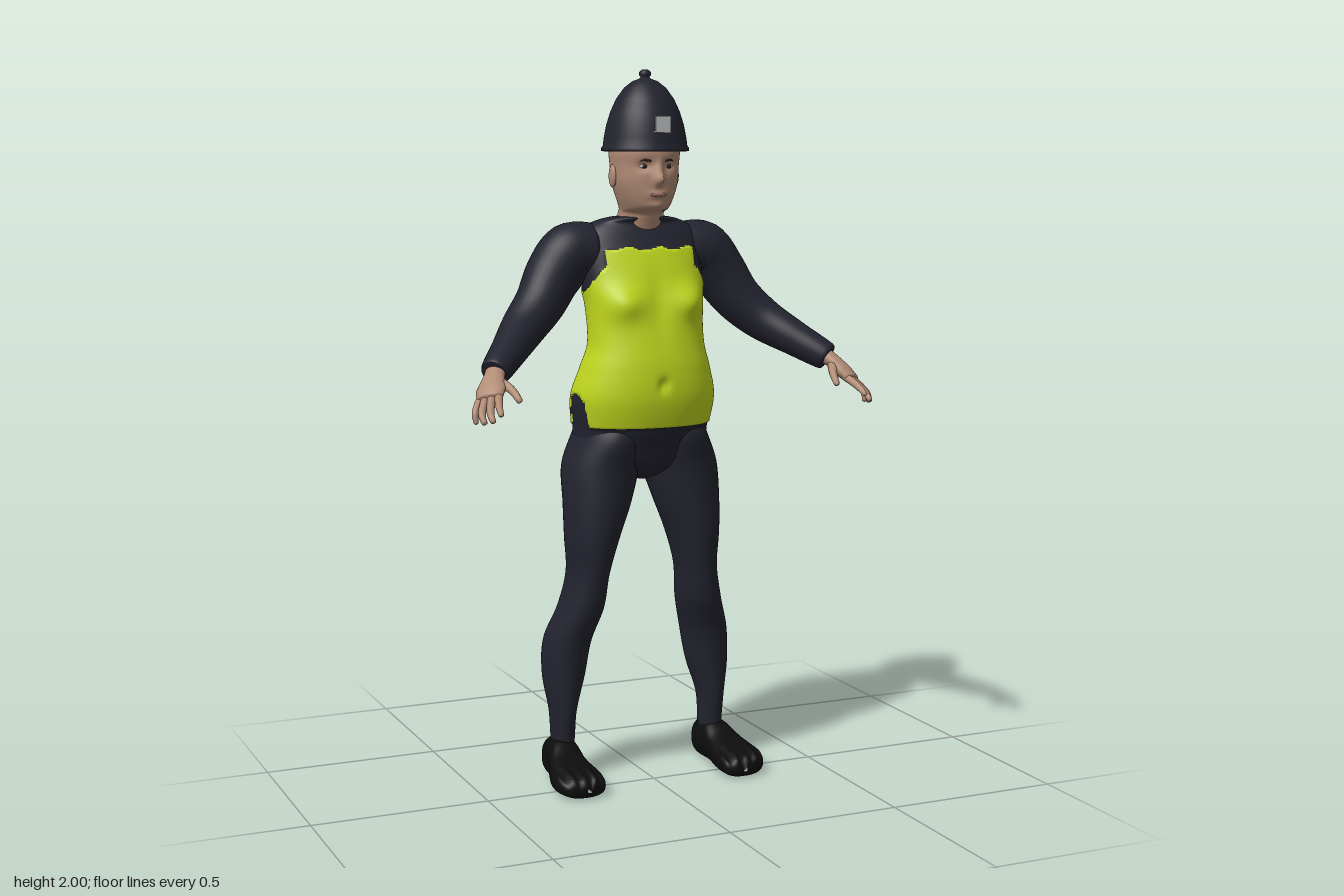
import * as THREE from 'three';

const mat = (name, color) => Object.assign(new THREE.MeshStandardMaterial({ color }), { name });
const navy = mat('navy cloth', 0x23232f);
const lime = mat('high visibility lime', 0xc0d81e);
const skin = mat('skin', 0xb08a74);
const lip = mat('lips', 0x966a5c);
const black = mat('black shoe', 0x0d0d0e);
const dark = mat('dark brown', 0x2a1d18);
const white = mat('eye white', 0xd8d4d0);
const silver = mat('silver', 0xb9babd);

const bell = (d, w) => Math.exp(-(d * d) / (w * w));
const spline = (a, b, c, d, t) =>
  b + 0.5 * t * (c - a + t * (2 * a - 5 * b + 4 * c - d + t * (3 * (b - c) + d - a)));

// Skin of rings: at(row, col) gives a point, pick chooses the material of each face
function grid(rows, cols, at, pick = () => 0) {
  const pos = [], faces = [[], []];
  for (let i = 0; i <= rows; i++) for (let j = 0; j < cols; j++) pos.push(...at(i / rows, (j / cols) * Math.PI * 2));
  for (let i = 0; i < rows; i++) for (let j = 0; j < cols; j++) {
    const a = i * cols + j, b = i * cols + (j + 1) % cols, c = a + cols, d = b + cols;
    const mid = [0, 1, 2].map(k => (pos[a * 3 + k] + pos[b * 3 + k] + pos[c * 3 + k] + pos[d * 3 + k]) / 4);
    faces[pick(...mid)].push(a, c, b, b, c, d);
  }
  const g = new THREE.BufferGeometry();
  g.setAttribute('position', new THREE.Float32BufferAttribute(pos, 3));
  g.setIndex([...faces[0], ...faces[1]]);
  if (faces[1].length) {
    g.addGroup(0, faces[0].length, 0);
    g.addGroup(faces[0].length, faces[1].length, 1);
  }
  g.computeVertexNormals();
  return g;
}

// Stacked sections [y, halfWidth, zFront, zBack, xCentre], shaped further by a rule
function loft(sections, { cols = 48, steps = 8, power = 2, shape = p => p, pick } = {}) {
  const n = sections.length - 1;
  return grid(n * steps, cols, (u, a) => {
    const i = Math.min(Math.floor(u * n + 1e-9), n - 1), t = u * n - i;
    const s = k => sections[Math.max(0, Math.min(n, k))];
    const [y, w, zf, zb, cx] = [0, 1, 2, 3, 4].map(k =>
      spline(s(i - 1)[k] || 0, s(i)[k] || 0, s(i + 1)[k] || 0, s(i + 2)[k] || 0, t));
    const c = Math.cos(a), d = Math.sin(a), f = v => Math.sign(v) * Math.abs(v) ** (2 / power);
    return shape([cx + w * f(c), y, (zf + zb) / 2 + ((zf - zb) / 2) * f(d)], c, d);
  }, pick);
}

// Rounded limb through points [x, y, z, radius, secondRadius]; ref aims the first radius
function limb(points, { ref = [0, 0, 1], round = 0.12, rows = 24, cols = 20 } = {}) {
  const curve = new THREE.CatmullRomCurve3(points.map(p => new THREE.Vector3(...p)));
  const n = points.length - 1;
  return grid(rows, cols, (u, a) => {
    const P = curve.getPoint(u), T = curve.getTangent(u);
    const A = new THREE.Vector3(...ref).addScaledVector(T, -T.dot(new THREE.Vector3(...ref))).normalize();
    const B = A.clone().cross(T);
    const i = Math.min(Math.floor(u * n), n - 1), t = u * n - i;
    const r = k => THREE.MathUtils.lerp(points[i][k] ?? points[i][3], points[i + 1][k] ?? points[i + 1][3], t);
    const e = Math.max(0, (Math.abs(2 * u - 1) - 1 + round) / round), cap = Math.sqrt(Math.max(0.0001, 1 - e * e));
    return P.addScaledVector(A, Math.cos(a) * r(3) * cap).addScaledVector(B, Math.sin(a) * r(4) * cap).toArray();
  });
}

function mirrored(geometry) {
  const g = geometry.clone().scale(-1, 1, 1), idx = g.index.array;
  for (let i = 0; i < idx.length; i += 3) [idx[i], idx[i + 1]] = [idx[i + 1], idx[i]];
  g.computeVertexNormals();
  return g;
}

// Area of the torso covered by the vest
function inVest(x, y, z) {
  const ax = Math.abs(x), front = z > -0.09;
  const top = (front ? 1.512 : 1.505) + 0.004 * Math.sin(x * 70) - (ax > 0.13 ? (ax - 0.13) * 0.9 : 0);
  if (y < 1.019 || y > top) return 0;
  if (ax > 0.13 && Math.hypot((y - 1.5) / 0.11, (z + 0.1) / 0.085) < 1) return 0;
  if (ax > 0.14 && y < 1.11 - 9 * (z + 0.08) ** 2 && Math.abs(z + 0.08) < 0.05) return 0;
  return 1;
}

function shapeTorso([x, y, z], c, d) {
  const ax = Math.abs(x);
  if (d > 0) {
    z += 0.026 * bell(ax - 0.1, 0.05) * bell(y - 1.365, 0.045) * Math.min(1, d * 2);
    z -= 0.012 * bell(x, 0.012) * bell(y - 1.14, 0.02);
    z -= 0.006 * bell(x, 0.03) * bell(y - 1.36, 0.08);
  } else {
    z += 0.017 * bell(x, 0.03) * -d + 0.02 * bell(x, 0.02) * bell(y - 0.98, 0.07);
    z -= 0.01 * bell(ax - 0.09, 0.05) * (bell(y - 1.03, 0.08) + bell(y - 1.44, 0.07)) * -d;
  }
  const out = inVest(x, y, z) * 0.005;
  return [x + c * out, y, z + d * out];
}

function shapeHead([x, y, z], c, d) {
  if (d > 0) {
    const ax = Math.abs(x), low = Math.max(0, Math.min(1, (1.7 - y) / 0.08));
    z += 0.026 * bell(x, 0.013) * bell(y - 1.7, 0.016) + 0.014 * bell(x, 0.011) * bell(y - 1.725, 0.022);
    z -= 0.01 * bell(ax - 0.036, 0.02) * bell(y - 1.738, 0.014);
    z += 0.007 * bell(x, 0.025) * bell(y - 1.661, 0.01) + 0.006 * bell(x, 0.025) * bell(y - 1.628, 0.012);
    x *= 1 - 0.12 * low * d;
  }
  return [x, y, z];
}

export function createModel() {
  const model = new THREE.Group();
  const add = (name, geometry, material) => {
    const m = new THREE.Mesh(geometry, material);
    m.name = name;
    model.add(m);
    return m;
  };
  const pair = (name, geometry, material) => {
    add('left ' + name, geometry, material);
    add('right ' + name, mirrored(geometry), material);
  };
  const ball = (x, y, z, rx, ry, rz) => new THREE.SphereGeometry(1, 20, 14).scale(rx, ry, rz).translate(x, y, z);

  // Torso with painted vest
  add('torso and vest', loft([
    [0.86, 0.02, -0.06, -0.15], [0.9, 0.12, 0, -0.205], [0.96, 0.185, 0.027, -0.238],
    [1.02, 0.194, 0.05, -0.24], [1.1, 0.201, 0.068, -0.228], [1.18, 0.181, 0.068, -0.195],
    [1.25, 0.162, 0.058, -0.17], [1.35, 0.164, 0.038, -0.178], [1.42, 0.176, 0.018, -0.192],
    [1.5, 0.183, -0.008, -0.203], [1.55, 0.175, -0.03, -0.195], [1.58, 0.14, -0.043, -0.18],
    [1.597, 0.08, -0.035, -0.16], [1.6, 0.01, -0.09, -0.11],
  ], { cols: 128, steps: 14, power: 2.3, shape: shapeTorso, pick: inVest }), [navy, lime]);

  // Legs
  pair('leg', loft([
    [0.09, 0.03, -0.08, -0.165, 0.232], [0.12, 0.033, -0.075, -0.167, 0.232], [0.2, 0.038, -0.065, -0.175, 0.232],
    [0.3, 0.06, -0.06, -0.2, 0.225], [0.4, 0.067, -0.048, -0.21, 0.213], [0.5, 0.063, -0.015, -0.185, 0.183],
    [0.6, 0.058, 0, -0.17, 0.167], [0.7, 0.075, 0.015, -0.18, 0.155], [0.8, 0.095, 0.02, -0.195, 0.137],
    [0.9, 0.108, 0.022, -0.228, 0.12], [0.98, 0.096, 0.035, -0.24, 0.1], [1.03, 0.08, 0.02, -0.22, 0.095],
  ]), navy);

  // Shoes, lofted from heel to toe then laid flat
  pair('shoe', loft([
    [-0.196, 0.004, -0.03, -0.05, 0.24], [-0.188, 0.03, -0.008, -0.09, 0.238], [-0.15, 0.045, 0, -0.116, 0.238],
    [-0.09, 0.047, 0, -0.118, 0.24], [-0.04, 0.058, 0, -0.092, 0.247], [0.02, 0.07, 0, -0.074, 0.25],
    [0.065, 0.068, 0, -0.064, 0.248], [0.095, 0.052, -0.003, -0.052, 0.243], [0.108, 0.006, -0.02, -0.03, 0.24],
  ], {
    power: 2.5,
    shape: ([x, t, z], c, d) => [x, t, d < 0 && t > 0 ? z + d * 0.006 * Math.cos((x - 0.25) * 200) * Math.min(1, t * 20) : z],
  }).rotateX(Math.PI / 2), black);

  // Sleeves
  pair('sleeve', limb([
    [0.13, 1.5, -0.12, 0.08], [0.2, 1.497, -0.122, 0.085], [0.25, 1.44, -0.118, 0.08], [0.3, 1.365, -0.095, 0.07],
    [0.36, 1.305, -0.06, 0.062], [0.43, 1.25, 0.015, 0.05], [0.495, 1.202, 0.085, 0.04], [0.5, 1.198, 0.09, 0.036],
  ], { round: 0.05, rows: 48, cols: 32 }), navy);

  // Hands: flat palm and five digits
  const across = [0.87, -0.4, -0.3];
  pair('palm', limb([
    [0.485, 1.212, 0.072, 0.027, 0.024], [0.508, 1.188, 0.108, 0.03, 0.02],
    [0.527, 1.16, 0.14, 0.041, 0.02], [0.541, 1.138, 0.166, 0.036, 0.015],
  ], { ref: across, round: 0.15 }), skin);
  const digits = {
    thumb: [[0.502, 1.184, 0.115, 0.016], [0.477, 1.16, 0.165, 0.011], [0.468, 1.132, 0.206, 0.008]],
    'index finger': [[0.512, 1.155, 0.158, 0.012], [0.53, 1.127, 0.212, 0.01], [0.536, 1.105, 0.248, 0.007]],
    'middle finger': [[0.53, 1.148, 0.158, 0.012], [0.553, 1.11, 0.21, 0.01], [0.555, 1.088, 0.24, 0.007]],
    'ring finger': [[0.545, 1.142, 0.15, 0.012], [0.57, 1.103, 0.192, 0.01], [0.568, 1.08, 0.212, 0.007]],
    'little finger': [[0.555, 1.14, 0.137, 0.011], [0.578, 1.103, 0.16, 0.009], [0.577, 1.075, 0.168, 0.006]],
  };
  for (const [name, pts] of Object.entries(digits)) pair(name, limb(pts, { ref: across, rows: 14, cols: 12 }), skin);

  // Head and neck
  add('head', loft([
    [1.55, 0.075, -0.04, -0.165], [1.59, 0.066, -0.028, -0.157], [1.61, 0.064, -0.018, -0.153],
    [1.622, 0.066, 0.018, -0.152], [1.65, 0.077, 0.03, -0.153], [1.69, 0.089, 0.033, -0.16],
    [1.74, 0.093, 0.034, -0.167], [1.78, 0.095, 0.036, -0.168], [1.82, 0.08, 0.02, -0.15],
  ], { cols: 96, power: 2.15, shape: shapeHead }), skin);
  pair('ear', ball(0.094, 1.71, -0.068, 0.009, 0.032, 0.019), skin);
  pair('eye', ball(0.036, 1.737, 0.01, 0.014, 0.007, 0.012), white);
  pair('iris', ball(0.036, 1.737, 0.019, 0.007, 0.006, 0.005), dark);
  pair('eyebrow', limb([[0.018, 1.751, 0.03, 0.003], [0.037, 1.755, 0.024, 0.004], [0.056, 1.75, 0.013, 0.002]],
    { rows: 12, cols: 8 }), dark);
  add('mouth', ball(0, 1.66, 0.033, 0.024, 0.006, 0.006), lip);

  // Tall domed helmet with rolled brim and top knob
  const dome = [[0.088, 1.79], [0.112, 1.777], [0.121, 1.778], [0.122, 1.786], [0.117, 1.792], [0.114, 1.815], [0.107, 1.85],
    [0.096, 1.885], [0.08, 1.92], [0.058, 1.95], [0.035, 1.968], [0.016, 1.975], [0.012, 1.979], [0.017, 1.985],
    [0.016, 1.993], [0.009, 1.999], [0, 2]];
  add('helmet', new THREE.LatheGeometry(dome.map(p => new THREE.Vector2(...p)), 64).translate(0, 0, -0.06), navy);
  add('badge plate', new THREE.BoxGeometry(0.044, 0.044, 0.006).translate(0, 1.85, 0.062), silver);
  add('badge foot', new THREE.BoxGeometry(0.044, 0.005, 0.02).translate(0, 1.83, 0.053), silver);

  return model;
}
